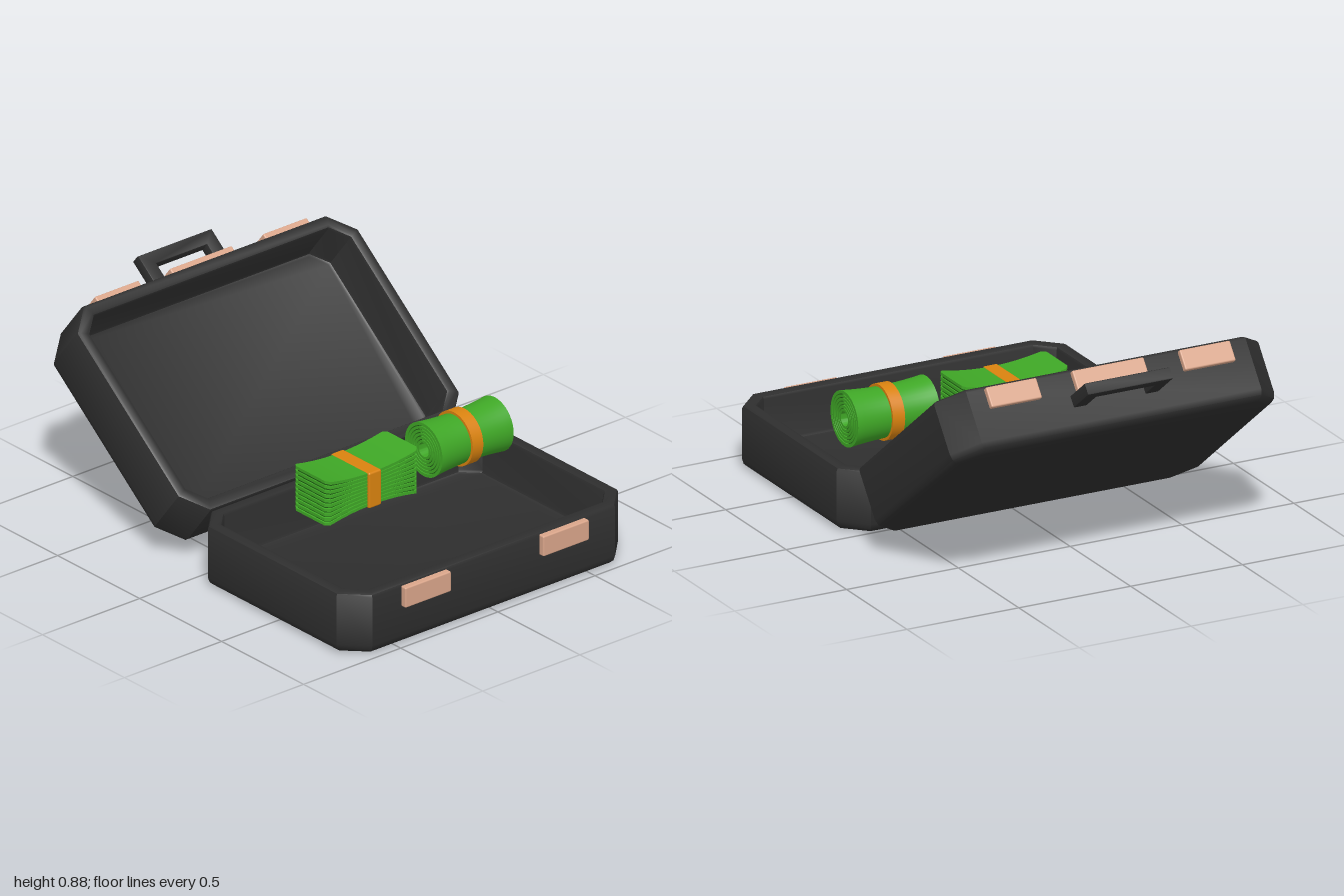
import * as THREE from 'three';
import { toCreasedNormals } from 'three/addons/utils/BufferGeometryUtils.js';
import { RoundedBoxGeometry } from 'three/addons/geometries/RoundedBoxGeometry.js';

const W = 1.45, D = 0.985, H = 0.265, CHAMFER = 0.1, TILT = 0.663;

function material(name, color) {
  const m = new THREE.MeshStandardMaterial({ color });
  m.name = name;
  return m;
}

function add(parent, name, geometry, mat, x = 0, y = 0, z = 0) {
  const mesh = new THREE.Mesh(geometry, mat);
  mesh.name = name;
  mesh.position.set(x, y, z);
  parent.add(mesh);
  return mesh;
}

// Octagonal outline, inset evenly from the outer wall
function octagon(inset) {
  const x = W / 2 - inset, z = D / 2 - inset, c = CHAMFER - 0.586 * inset;
  return [[x, -z + c], [x, z - c], [x - c, z], [-x + c, z],
    [-x, z - c], [-x, -z + c], [-x + c, -z], [x - c, -z]];
}

// Open tray: outer wall, rounded rim, inner wall and floor as stacked loops
function trayGeometry() {
  const floor = 0.06;
  const profile = [[0.04, 0], [0.022, 0.004], [0.007, 0.017], [0, 0.04],
    [0, H - 0.015], [0.005, H - 0.005], [0.015, H], [0.042, H], [0.051, H - 0.004],
    [0.055, H - 0.014], [0.055, floor + 0.015], [0.059, floor + 0.005], [0.068, floor]];
  const pos = [], index = [];
  for (const [inset, y] of profile) {
    for (const [x, z] of octagon(inset)) pos.push(x, y, z);
  }
  const last = (profile.length - 1) * 8;
  for (let i = 0; i < profile.length - 1; i++) {
    for (let j = 0; j < 8; j++) {
      const k = (j + 1) % 8;
      const a = i * 8 + j, b = i * 8 + k, c = b + 8, d = a + 8;
      index.push(a, d, c, a, c, b);
    }
  }
  for (let j = 1; j < 7; j++) {
    index.push(0, j, j + 1);
    index.push(last, last + j + 1, last + j);
  }
  const g = new THREE.BufferGeometry();
  g.setAttribute('position', new THREE.Float32BufferAttribute(pos, 3));
  g.setIndex(index);
  return toCreasedNormals(g, 0.6);
}

// One layer of the bundle: fans out towards both ends, with rounded corners
function sheetGeometry(length, thick, depth, level) {
  const g = new THREE.BoxGeometry(length, thick, depth, 32, 1, 1);
  const p = g.attributes.position, r = 0.02;
  for (let i = 0; i < p.count; i++) {
    const x = p.getX(i), u = Math.abs(x) / (length / 2);
    const e = Math.max(0, Math.abs(x) - (length / 2 - r));
    const cut = r - Math.sqrt(Math.max(0, r * r - e * e));
    p.setZ(i, p.getZ(i) * (1 - 2 * cut / depth));
    p.setY(i, p.getY(i) + level * (0.066 + 0.026 * u * u));
  }
  return toCreasedNormals(g, 0.6);
}

// Tube about the x axis, slightly pinched at the middle
function rollGeometry(inner, outer, length) {
  const pts = [], n = 10;
  const pinch = t => 1 - 0.1 * (1 - t * t);
  for (let i = 0; i <= n; i++) {
    const t = -1 + 2 * i / n;
    pts.push(new THREE.Vector2(outer * pinch(t), t * length / 2));
  }
  for (let i = n; i >= 0; i--) {
    const t = -1 + 2 * i / n;
    pts.push(new THREE.Vector2(inner * pinch(t), t * length / 2));
  }
  pts.push(pts[0].clone());
  const g = new THREE.LatheGeometry(pts, 40);
  g.rotateZ(-Math.PI / 2);
  return toCreasedNormals(g, 0.6);
}

// U-shaped carrying handle, lying flat and pointing to -z
function handleGeometry() {
  const s = new THREE.Shape();
  const pts = [[-0.185, -0.02], [-0.185, 0.145], [0.185, 0.145], [0.185, -0.02],
    [0.135, -0.02], [0.135, 0.1], [-0.135, 0.1], [-0.135, -0.02]];
  pts.forEach(([x, y], i) => (i ? s.lineTo(x, y) : s.moveTo(x, y)));
  s.closePath();
  const g = new THREE.ExtrudeGeometry(s, {
    depth: 0.04, bevelEnabled: true, bevelSize: 0.005, bevelThickness: 0.005, bevelSegments: 2,
  });
  g.translate(0, 0, -0.02);
  g.rotateX(-Math.PI / 2);
  return toCreasedNormals(g, 0.6);
}

export function createModel() {
  const black = material('caseBlack', 0x2e2e2e);
  const copper = material('latchCopper', 0xd9a58a);
  const green = material('noteGreen', 0x3fa726);
  const darkGreen = material('noteGapGreen', 0x1d5a12);
  const orange = material('bandOrange', 0xd9820f);

  const model = new THREE.Group();
  model.name = 'openCase';
  const tray = trayGeometry();

  // Lower half with two latches
  const base = new THREE.Group();
  base.name = 'base';
  model.add(base);
  add(base, 'baseTray', tray, black, 0, 0, -0.01 + D / 2);
  for (const x of [-0.357, 0.353]) {
    add(base, 'baseLatch', new RoundedBoxGeometry(0.236, 0.088, 0.04, 2, 0.006), copper, x, 0.21, 0.98);
  }

  // Lid, hinged at the back and leaning open
  const lid = new THREE.Group();
  lid.name = 'lid';
  lid.position.set(0, H, -0.01);
  lid.rotation.x = TILT;
  model.add(lid);
  add(lid, 'lidTray', tray, black, 0, -H, -D / 2);
  for (const [x, w] of [[-0.433, 0.226], [0, 0.32], [0.433, 0.226]]) {
    add(lid, 'lidLatch', new RoundedBoxGeometry(w, 0.085, 0.04, 2, 0.006), copper, x, -0.056, -D - 0.002);
  }
  add(lid, 'handle', handleGeometry(), black, 0, -0.132, -D);

  // Flat bundle of notes held by a band
  const bundle = new THREE.Group();
  bundle.name = 'noteBundle';
  bundle.position.set(-0.132, 0.36, 0.292);
  model.add(bundle);
  const layers = 10;
  for (let i = 0; i < layers; i++) {
    const level = -1 + 2 * i / (layers - 1);
    add(bundle, 'noteLayer', sheetGeometry(0.474, 0.012, 0.214, level), green);
    if (i < layers - 1) {
      add(bundle, 'layerGap', sheetGeometry(0.462, 0.012, 0.202, level + 1 / (layers - 1)), darkGreen);
    }
  }
  add(bundle, 'bundleBand', new RoundedBoxGeometry(0.065, 0.156, 0.236, 2, 0.008), orange, 0, -0.002, 0);

  // Rolled notes: nested tubes held by a band
  const roll = new THREE.Group();
  roll.name = 'noteRoll';
  roll.position.set(0.398, 0.376, 0.293);
  model.add(roll);
  const rings = 6;
  for (let i = 0; i < rings; i++) {
    const inner = 0.03 + i * 0.0143;
    add(roll, 'rollLayer', rollGeometry(inner, inner + (i === rings - 1 ? 0.0135 : 0.0105), 0.366), green);
  }
  add(roll, 'rollGaps', rollGeometry(0.033, 0.112, 0.352), darkGreen);
  const band = new THREE.CylinderGeometry(0.115, 0.115, 0.054, 40, 1, false);
  band.rotateZ(Math.PI / 2);
  add(roll, 'rollBand', toCreasedNormals(band, 0.6), orange);

  return model;
}
